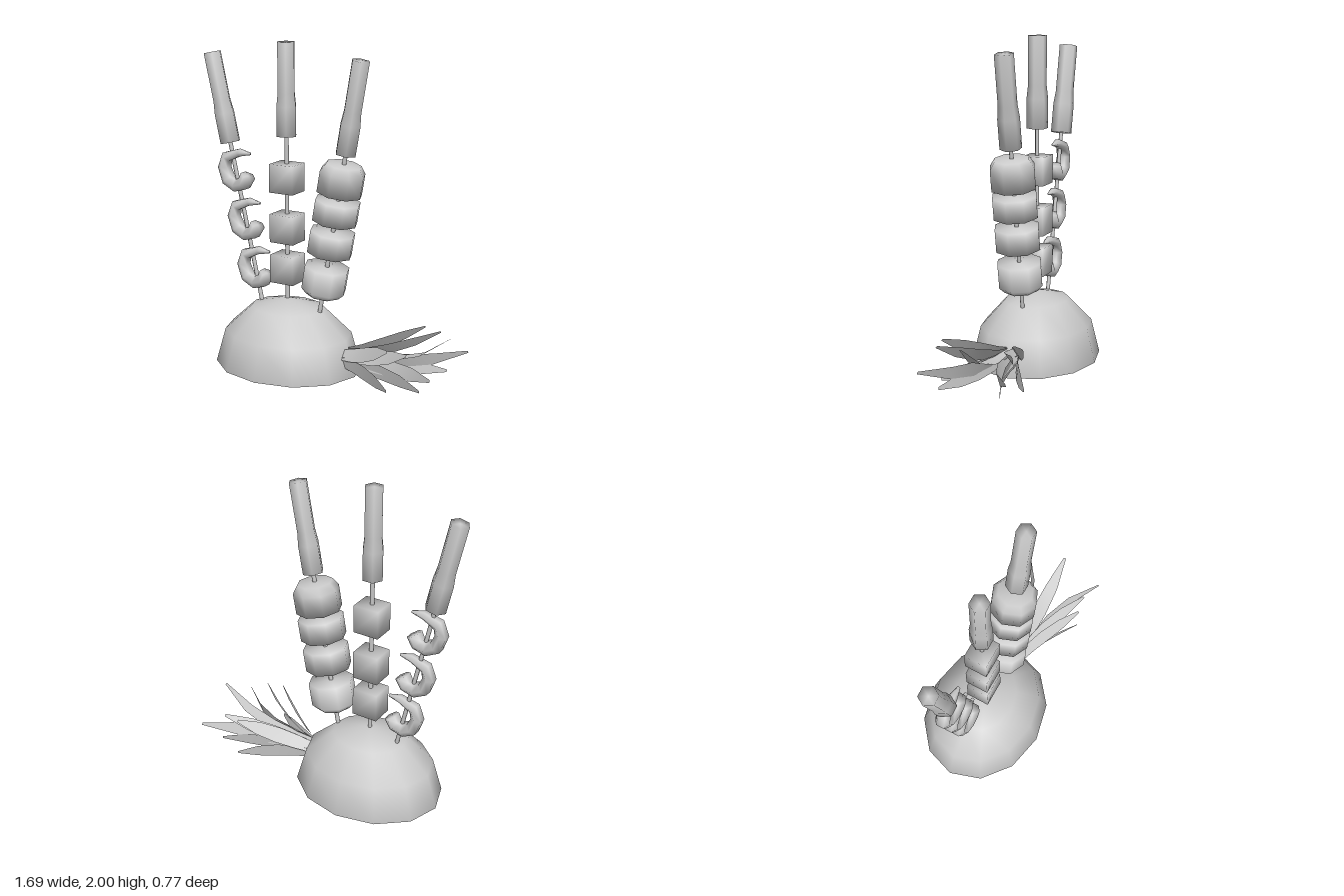
import * as THREE from 'three';
import { mergeVertices } from 'three/addons/utils/BufferGeometryUtils.js';

const material = new THREE.MeshStandardMaterial({ color: 0xcccccc, side: THREE.DoubleSide });

function add(parent, geometry, name) {
  const mesh = new THREE.Mesh(geometry, material);
  mesh.name = name;
  parent.add(mesh);
  return mesh;
}

function lathe(points, sides) {
  const profile = points.map(([r, y]) => new THREE.Vector2(r, y));
  return new THREE.LatheGeometry(profile, sides).rotateY(Math.PI / 2);
}

function indexed(positions, indices) {
  const g = new THREE.BufferGeometry();
  g.setAttribute('position', new THREE.Float32BufferAttribute(positions, 3));
  g.setIndex(indices);
  g.computeVertexNormals();
  return g;
}

// Box with normals shared across its corners, so it shades softly
function softBox(w, h, d) {
  const g = new THREE.BoxGeometry(w, h, d);
  g.deleteAttribute('normal');
  g.deleteAttribute('uv');
  const merged = mergeVertices(g);
  merged.computeVertexNormals();
  return merged;
}

// Curled tapering body: [x, y, radius] from thin tail to thick head
function shrimpGeometry() {
  const path = [
    [0.1, 0.105, 0.008], [0.022, 0.106, 0.026], [-0.072, 0.072, 0.037], [-0.094, 0.005, 0.04],
    [-0.064, -0.072, 0.044], [-0.005, -0.1, 0.046], [0.052, -0.084, 0.046], [0.08, -0.034, 0.046],
  ];
  const sides = 6, pos = [], idx = [], last = path.length - 1;
  path.forEach(([x, y, r], i) => {
    const a = path[Math.max(i - 1, 0)], b = path[Math.min(i + 1, last)];
    const t = new THREE.Vector2(b[0] - a[0], b[1] - a[1]).normalize();
    for (let j = 0; j < sides; j++) {
      const q = (j / sides + 1 / 12) * Math.PI * 2;
      const n = Math.cos(q) * r;
      pos.push(x - t.y * n, y + t.x * n, Math.sin(q) * r * 1.15);
    }
  });
  const tail = pos.length / 3, head = tail + 1;
  pos.push(path[0][0], path[0][1], 0, path[last][0], path[last][1], 0);
  for (let j = 0; j < sides; j++) {
    const k = (j + 1) % sides;
    for (let i = 0; i < last; i++) {
      const a = i * sides, b = a + sides;
      idx.push(a + j, a + k, b + j, a + k, b + k, b + j);
    }
    idx.push(tail, k, j, head, last * sides + j, last * sides + k);
  }
  return indexed(pos, idx);
}

// Leaf strip fanned about the crown axis; angle runs from up towards +z
function leafGeometry(angle, tipX, reach, bend) {
  const root = new THREE.Vector3(0.13, 0.11, 0);
  const out = new THREE.Vector3(0, Math.cos(angle), Math.sin(angle));
  const side = new THREE.Vector3(0, -Math.sin(angle), Math.cos(angle));
  const half = [0.032, 0.043, 0.048, 0.04, 0.008];
  const pos = [], idx = [];
  half.forEach((w, i) => {
    const s = i / (half.length - 1);
    const c = root.clone().addScaledVector(out, 0.045 + (reach - 0.045) * Math.pow(s, bend));
    c.x += (tipX - root.x) * s;
    for (const k of [-1, 1]) pos.push(...c.clone().addScaledVector(side, k * w).toArray());
    if (i) {
      const a = 2 * i - 2;
      idx.push(a, a + 1, a + 2, a + 1, a + 3, a + 2);
    }
  });
  return indexed(pos, idx);
}

// Thin stick with a hexagonal handle; the group origin is the handle's lower end
function skewer(parent, name, x, y, tilt) {
  const group = new THREE.Group();
  group.name = name;
  group.position.set(x, y, 0);
  group.rotation.z = tilt;
  parent.add(group);
  add(group, new THREE.CylinderGeometry(0.013, 0.013, 1.06, 6).translate(0, -0.51, 0), 'stick');
  add(group, lathe([[0, 0], [0.066, 0], [0.066, 0.18], [0.057, 0.26], [0.057, 0.56], [0, 0.56]], 6), 'handle');
  return group;
}

export function createModel() {
  const model = new THREE.Group();
  model.name = 'fruitSkewerDish';

  // Open half-fruit base
  const dome = new THREE.SphereGeometry(1, 12, 3, 0, Math.PI * 2, 0, Math.PI / 2);
  add(model, dome.scale(0.475, 0.43, 0.387).translate(-0.258, 0, 0), 'halfFruit');

  // Crown leaves: one in the middle and mirrored pairs
  const crown = new THREE.Group();
  crown.name = 'leafCrown';
  model.add(crown);
  add(crown, leafGeometry(0, 0.84, 0.25, 3.4), 'middleLeaf');
  const leaves = [
    [0.9, 0.563, 0.32, 1.3], [0.88, 0.675, 0.3, 1.7], [1.26, 0.84, 0.28, 2.8],
    [1.72, 0.74, 0.19, 2], [1.72, 0.565, 0.26, 1.4],
  ];
  for (const [angle, tipX, reach, bend] of leaves) {
    for (const s of [-1, 1]) add(crown, leafGeometry(s * angle, tipX, reach, bend), 'sideLeaf');
  }

  // Shrimp skewer
  skewer(model, 'shrimpSkewer', -0.669, 1.363, 0.219);
  const shrimp = shrimpGeometry();
  for (let i = 0; i < 3; i++) {
    add(model, shrimp, 'shrimp').position.set(-0.622 + i * 0.066, 1.198 - i * 0.302, 0);
  }

  // Cube skewer
  const middle = skewer(model, 'cubeSkewer', -0.26, 1.44, 0);
  for (const y of [1.185, 0.875, 0.62]) {
    add(middle, softBox(0.163, 0.175, 0.142), 'cube').position.y = y - 1.44;
  }

  // Slice skewer: rounded top and bottom pieces with plain slices between
  const right = skewer(model, 'sliceSkewer', 0.146, 1.369, -0.175);
  const R = 0.14;
  const slices = [
    [[0, -0.24], [R, -0.24], [R, -0.11], [0.108, -0.063], [0, -0.06]],
    [[0, -0.418], [R, -0.418], [R, -0.287], [0, -0.287]],
    [[0, -0.622], [R, -0.622], [R, -0.484], [0, -0.484]],
    [[0, -0.893], [0.108, -0.89], [R, -0.855], [R, -0.711], [0, -0.711]],
  ];
  for (const profile of slices) add(right, lathe(profile, 8), 'slice');

  return model;
}
